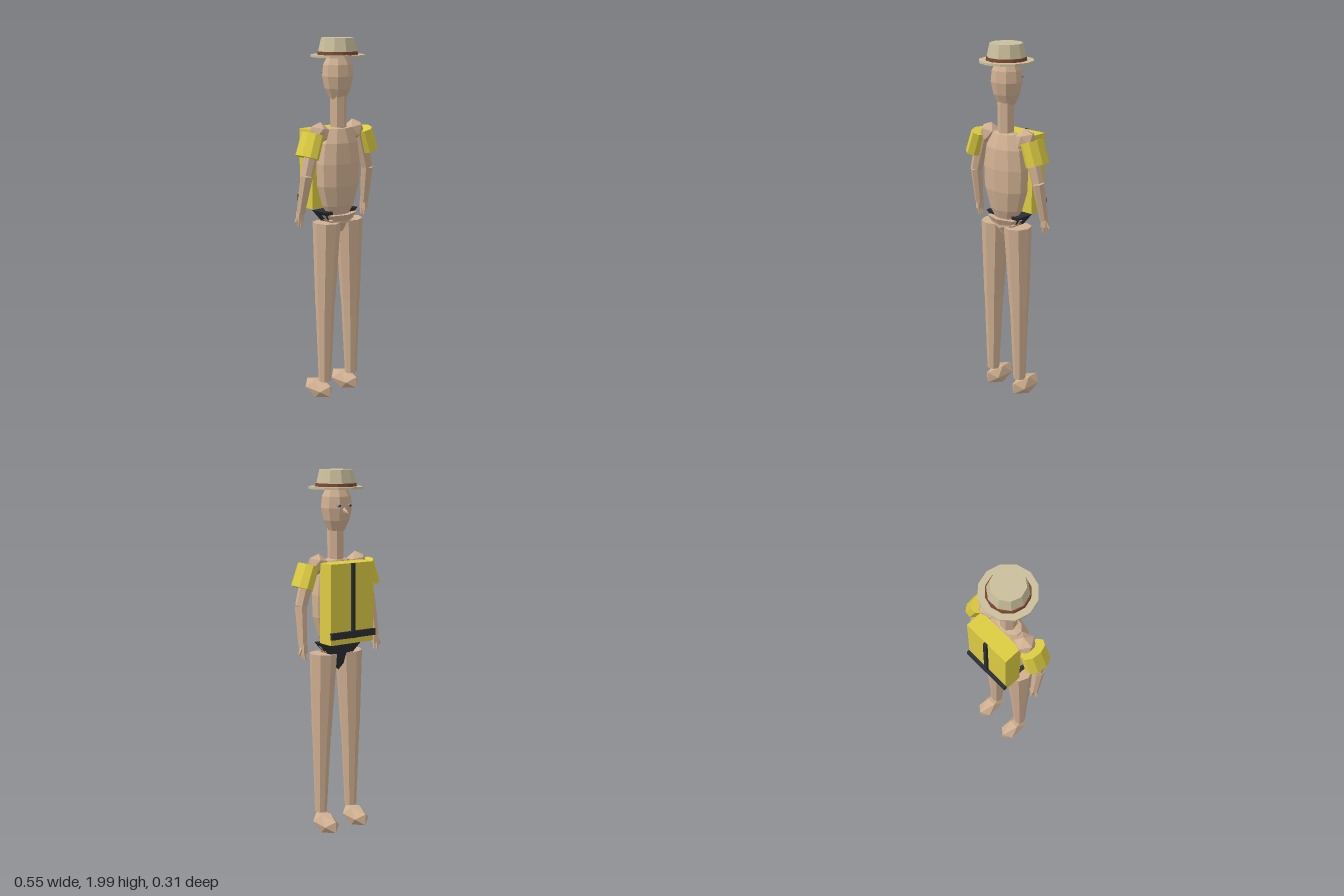
import * as THREE from 'three';

const mat = (color) => new THREE.MeshStandardMaterial({ color, flatShading: true });
const V = (x, y, z) => new THREE.Vector3(x, y, z);

export function createModel() {
  const root = new THREE.Group();
  root.name = 'hikerFigure';
  const skin = mat(0xd0b092), yellow = mat(0xdccc42), straw = mat(0xcabf9d);
  const band = mat(0x7c4733), dark = mat(0x2a2e34), eyeGrey = mat(0x87939b);

  const add = (name, geo, material, x = 0, y = 0, z = 0) => {
    const mesh = new THREE.Mesh(geo, material);
    mesh.name = name;
    mesh.position.set(x, y, z);
    root.add(mesh);
    return mesh;
  };

  // Tapered limb running from a (radius ra) to b (radius rb)
  const limb = (name, a, b, ra, rb, sides, material = skin) => {
    const mid = a.clone().add(b).multiplyScalar(0.5);
    const mesh = add(name, new THREE.CylinderGeometry(ra, rb, a.distanceTo(b), sides), material, mid.x, mid.y, mid.z);
    mesh.quaternion.setFromUnitVectors(V(0, 1, 0), a.clone().sub(b).normalize());
    return mesh;
  };

  // Faceted egg from [radius, height] rows, squashed in depth
  const egg = (name, rows, sides, depth, z) => {
    const pts = rows.map(([r, y]) => new THREE.Vector2(r, y));
    const mesh = add(name, new THREE.LatheGeometry(pts, sides), skin, 0, 0, z);
    mesh.scale.z = depth;
    return mesh;
  };

  // Hat
  const hatZ = 0.009;
  add('hatBrim', new THREE.CylinderGeometry(0.146, 0.146, 0.012, 12), straw, 0, 1.906, hatZ);
  add('hatBand', new THREE.CylinderGeometry(0.108, 0.111, 0.018, 12), band, 0, 1.92, hatZ);
  const crown = new THREE.CylinderGeometry(0.088, 0.108, 0.09, 10);
  crown.rotateY(Math.PI / 10);
  add('hatCrown', crown, straw, 0, 1.955, hatZ);

  // Head, neck and torso
  egg('head', [[0, 1.665], [0.045, 1.68], [0.072, 1.735], [0.086, 1.80], [0.08, 1.86], [0.06, 1.9], [0, 1.91]], 9, 0.95, 0.008);
  limb('neck', V(0, 1.7, 0.012), V(0, 1.52, 0.012), 0.047, 0.044, 7);
  egg('torso', [[0, 1.03], [0.06, 1.04], [0.105, 1.11], [0.138, 1.22], [0.142, 1.34], [0.125, 1.45], [0.08, 1.525], [0, 1.54]], 10, 0.64, 0.014);

  // Face, turned to the pack side
  const nose = add('nose', new THREE.ConeGeometry(0.016, 0.045, 5), skin, 0, 1.783, -0.085);
  nose.rotation.x = -Math.PI / 2 - 0.35;
  for (const s of [-1, 1]) {
    add('eye', new THREE.IcosahedronGeometry(0.012, 0), eyeGrey, s * 0.034, 1.815, -0.066);
    add('pupil', new THREE.IcosahedronGeometry(0.006, 0), dark, s * 0.034, 1.815, -0.076);
  }

  // Pelvis and dark loin triangle
  const pelvis = add('pelvis', new THREE.CylinderGeometry(0.115, 0.025, 0.1, 7), skin, 0, 1.01, 0.02);
  pelvis.scale.z = 0.6;
  const hip = add('hips', new THREE.IcosahedronGeometry(0.1, 0), skin, 0, 1.03, 0.015);
  hip.scale.set(1, 0.45, 0.65);
  const wedge = new THREE.ConeGeometry(0.17, 0.16, 4);
  wedge.rotateY(Math.PI / 4);
  wedge.rotateX(Math.PI);
  const loin = add('loinTriangle', wedge, dark, 0, 1.0, -0.012);
  loin.scale.z = 0.45;

  // Arms, shoulders, sleeves, legs and feet
  for (const s of [-1, 1]) {
    const side = s > 0 ? 'left' : 'right';
    const shoulder = add(side + 'Shoulder', new THREE.IcosahedronGeometry(0.06, 0), skin, s * 0.13, 1.505, 0);
    shoulder.rotation.z = -s * 0.35;
    const sleeve = add(side + 'Sleeve', new THREE.CylinderGeometry(0.048, 0.05, 0.128, 9), yellow, s * 0.2, 1.446, 0.006);
    sleeve.rotation.z = s * 0.34;
    sleeve.scale.z = 1.55;
    const elbow = V(s * 0.226, 1.29, 0.008), wrist = V(s * 0.24, 1.085, -0.026);
    limb(side + 'UpperArm', V(s * 0.165, 1.5, 0.01), elbow, 0.042, 0.033, 7);
    limb(side + 'Forearm', elbow, wrist, 0.034, 0.023, 7);

    const palm = add(side + 'Palm', new THREE.BoxGeometry(0.03, 0.045, 0.036), skin, s * 0.24, 1.067, -0.03);
    palm.rotation.y = s * 0.3;
    for (let i = 0; i < 3; i++) {
      const z = -0.018 - i * 0.013;
      limb(side + 'Finger', V(s * 0.242, 1.05, z), V(s * 0.238, 1.012, z - 0.004), 0.008, 0.006, 5);
    }
    limb(side + 'Thumb', V(s * 0.245, 1.08, -0.03), V(s * 0.268, 1.04, -0.035), 0.009, 0.007, 5);

    const knee = V(s * 0.097, 0.56, 0.01);
    limb(side + 'Thigh', V(s * 0.084, 1.02, 0.01), knee, 0.076, 0.054, 8);
    limb(side + 'Shin', knee, V(s * 0.102, 0.118, 0.012), 0.052, 0.034, 8);
    const foot = add(side + 'Foot', new THREE.IcosahedronGeometry(1, 0), skin, s * 0.102, 0.062, -0.038);
    foot.scale.set(0.055, 0.06, 0.112);
  }

  // Pack with crossed straps
  add('pack', new THREE.BoxGeometry(0.278, 0.43, 0.102), yellow, 0, 1.305, -0.091);
  add('verticalStrap', new THREE.BoxGeometry(0.02, 0.4, 0.016), dark, 0, 1.32, -0.148);
  add('crossStrap', new THREE.BoxGeometry(0.285, 0.036, 0.016), dark, 0, 1.14, -0.149);

  return root;
}
